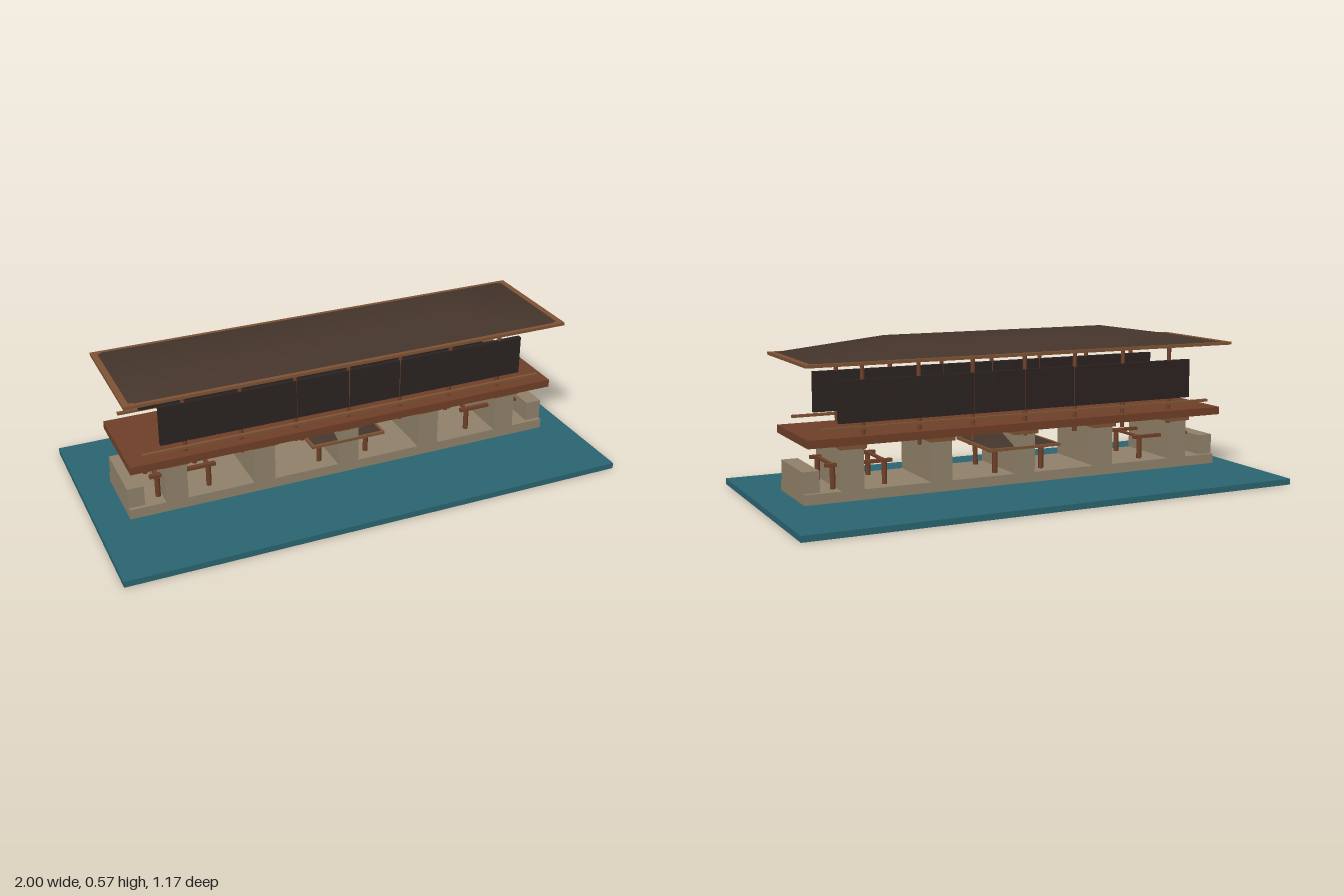
import * as THREE from 'three';

const material = (color) => new THREE.MeshStandardMaterial({ color });
const water = material(0x2a6470);
const stone = material(0x8f8069);
const wood = material(0x6e3f27);
const trim = material(0x7d5234);
const dark = material(0x2a2220);
const tile = material(0x44342b);

export function createModel() {
  const root = new THREE.Group();
  root.name = 'lakePavilion';
  const body = new THREE.Group();
  body.name = 'pavilion';
  body.rotation.y = -0.122; // the building and its pond stand askew
  root.add(body);

  // Box given by its centre in x and z, and its bottom and top heights
  function box(name, mat, x, z, y0, y1, w, d, parent = body) {
    const mesh = new THREE.Mesh(new THREE.BoxGeometry(w, y1 - y0, d), mat);
    mesh.position.set(x, (y0 + y1) / 2, z);
    mesh.name = name;
    parent.add(mesh);
    return mesh;
  }

  function post(name, mat, x, z, y0, y1, r) {
    const mesh = new THREE.Mesh(new THREE.CylinderGeometry(r, r, y1 - y0, 8), mat);
    mesh.position.set(x, (y0 + y1) / 2, z);
    mesh.name = name;
    body.add(mesh);
  }

  // Hipped roof with a flat crown: lower and upper rectangles joined by slopes
  function hipRoof(name, w, d, topW, topD, y0, y1) {
    const corners = [[-1, 1], [1, 1], [1, -1], [-1, -1]];
    const points = [], index = [];
    for (const [rw, rd, y] of [[w, d, y0], [topW, topD, y1]])
      for (const [sx, sz] of corners) points.push(sx * rw / 2, y, sz * rd / 2);
    for (let i = 0; i < 4; i++) {
      const j = (i + 1) % 4;
      index.push(i, j, j + 4, i, j + 4, i + 4);
    }
    index.push(4, 5, 6, 4, 6, 7);
    const geometry = new THREE.BufferGeometry();
    geometry.setAttribute('position', new THREE.Float32BufferAttribute(points, 3));
    geometry.setIndex(index);
    geometry.computeVertexNormals();
    const mesh = new THREE.Mesh(geometry, tile);
    mesh.name = name;
    body.add(mesh);
    box(name + 'Underside', tile, 0, 0, y0 - 0.004, y0, w, d);
  }

  // Boards around the edge of a roof
  function eaves(name, w, d, t, y0, y1) {
    for (const s of [-1, 1]) {
      box(name, trim, 0, s * (d - t) / 2, y0, y1, w, t);
      box(name, trim, s * (w - t) / 2, 0, y0, y1, t, d - 2 * t);
    }
  }

  // Pond and stone base
  box('pond', water, 0, 0, 0, 0.022, 1.9, 0.95);
  box('base', stone, 0, 0, 0.033, 0.07, 1.667, 0.28);
  for (const s of [-1, 1]) box('endBlock', stone, s * 0.804, 0, 0.035, 0.146, 0.06, 0.25);

  // Cross walls with wooden caps
  for (let i = -2; i <= 2; i++) {
    box('crossWall', stone, i * 0.33, 0, 0.07, 0.218, 0.08, 0.285);
    box('wallCap', trim, i * 0.33, 0, 0.216, 0.235, 0.095, 0.31);
  }

  // Landing frames standing on low plinths
  for (const x of [-0.62, 0, 0.62]) {
    box('plinth', trim, x, 0, 0.02, 0.035, 0.22, 0.19);
    for (const sz of [-1, 1]) {
      box('frameRail', wood, x, sz * 0.085, 0.148, 0.16, 0.245, 0.016);
      for (const sx of [-1, 1]) post('framePost', wood, x + sx * 0.095, sz * 0.085, 0.035, 0.15, 0.01);
    }
    for (const sx of [-1, 1]) box('frameTie', wood, x + sx * 0.095, 0, 0.15, 0.158, 0.014, 0.19);
  }

  // Small canopy in the middle
  hipRoof('canopy', 0.28, 0.28, 0.06, 0.06, 0.168, 0.208);
  eaves('canopyEave', 0.29, 0.29, 0.014, 0.16, 0.17);

  // Upper deck
  box('deck', wood, 0, 0, 0.234, 0.263, 1.66, 0.36);

  // Both long sides: posts, shutters, rail and top plate
  for (const s of [-1, 1]) {
    const z = s * 0.139;
    for (let i = -3; i <= 3; i++) post('upperPost', wood, i * 0.2067, z, 0.21, 0.505, 0.008);
    for (let i = 0; i < 14; i++) box('shutter', dark, (i - 6.5) * 0.1015, z, 0.305, 0.452, 0.098, 0.018);
    box('shutterCore', dark, 0, z, 0.307, 0.45, 1.41, 0.012);
    box('rail', trim, 0, s * 0.165, 0.286, 0.296, 1.56, 0.012);
    box('topPlate', trim, 0, z, 0.5, 0.513, 1.43, 0.02);
  }

  // Main roof
  hipRoof('roof', 1.67, 0.44, 0.9, 0.19, 0.517, 0.575);
  eaves('eave', 1.69, 0.453, 0.022, 0.51, 0.521);

  return root;
}
